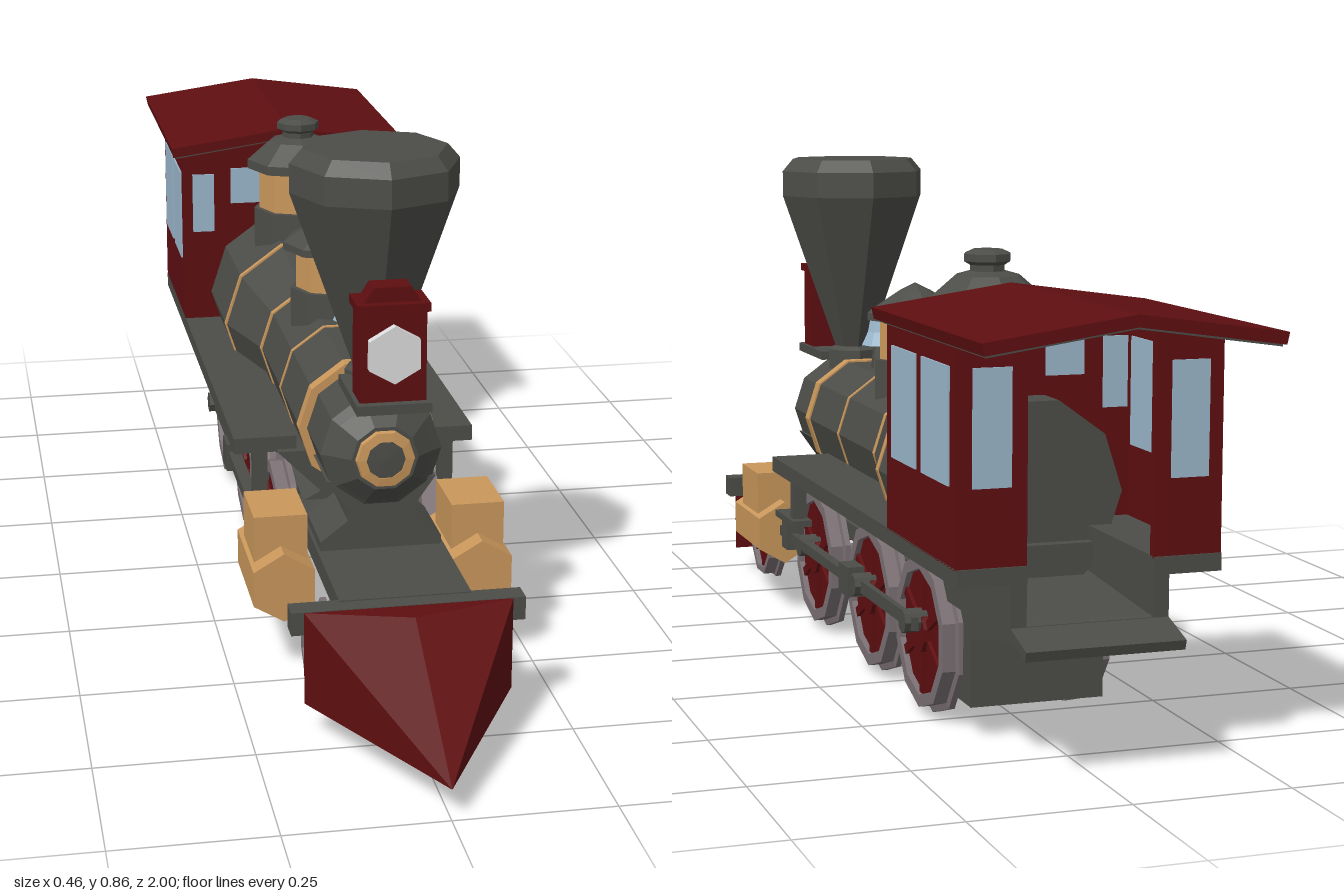
import * as THREE from 'three';

const mat = (name, color) => {
  const m = new THREE.MeshStandardMaterial({ color });
  m.name = name;
  return m;
};

export function createModel() {
  const iron = mat('dark iron', 0x4c4d48);
  const red = mat('deep red', 0x5e0e10);
  const brass = mat('brass', 0xc9975b);
  const glass = mat('pale blue', 0x9bb8cc);
  const steel = mat('wheel steel', 0x7b7074);
  const lamp = mat('lamp white', 0xdcdcdc);
  const root = new THREE.Group();
  root.name = 'steamLocomotive';

  // Adds a faceted mesh
  const add = (name, geo, material, x = 0, y = 0, z = 0, parent = root) => {
    const g = geo.index ? geo.toNonIndexed() : geo;
    g.computeVertexNormals();
    const m = new THREE.Mesh(g, material);
    m.name = name;
    m.position.set(x, y, z);
    parent.add(m);
    return m;
  };
  // Box given by its limits
  const box = (name, material, [x0, x1], [y0, y1], [z0, z1]) =>
    add(name, new THREE.BoxGeometry(x1 - x0, y1 - y0, z1 - z0), material,
      (x0 + x1) / 2, (y0 + y1) / 2, (z0 + z1) / 2);
  // Same box on both sides
  const pair = (name, material, [x0, x1], ys, zs) => {
    box(name + 'Left', material, [x0, x1], ys, zs);
    box(name + 'Right', material, [-x1, -x0], ys, zs);
  };
  const lathe = (pts, sides, phi = 0) =>
    new THREE.LatheGeometry(pts.map(p => new THREE.Vector2(...p)), sides, phi);
  // Extrudes an x-y outline from z0 to z1
  const slab = (name, material, pts, z0, z1) => {
    const shape = new THREE.Shape(pts.map(p => new THREE.Vector2(...p)));
    return add(name, new THREE.ExtrudeGeometry(shape, { depth: z1 - z0, bevelEnabled: false }), material, 0, 0, z0);
  };
  const mirrored = pts => [...pts, ...pts.map(([x, y]) => [-x, y]).reverse()];

  // Boiler: ten-sided, swelling to the firebox at the rear
  const AXIS = 0.366;
  const along = (name, pts, material) =>
    add(name, lathe(pts, 10, Math.PI / 10).rotateX(Math.PI / 2), material, 0, AXIS, 0);
  along('boiler', [[0, -0.58], [0.156, -0.58], [0.156, -0.28], [0.111, -0.115], [0.111, 0.31],
    [0.1, 0.31], [0.1, 0.455], [0.085, 0.465], [0.055, 0.49], [0, 0.49]], iron);
  for (const [z, r, w] of [[0.315, 0.114, 0.025], [0.11, 0.113, 0.008], [-0.117, 0.114, 0.012], [-0.28, 0.158, 0.012]])
    along('boilerBand', [[r - 0.02, z - w / 2], [r, z - w / 2], [r, z + w / 2], [r - 0.02, z + w / 2]], brass);
  along('doorRing', [[0.05, 0.485], [0.047, 0.498], [0.032, 0.5], [0.032, 0.49]], brass);
  along('doorCentre', [[0.032, 0.48], [0.032, 0.498], [0, 0.5]], iron);

  // Smokebox saddle and main frame
  slab('saddle', iron, mirrored([[0.1, 0.19], [0.1, 0.215], [0.055, 0.25], [0.055, 0.27], [0.09, 0.32]]), 0.33, 0.46);
  slab('mainFrame', iron, mirrored([[0.09, 0.17], [0.09, 0.2], [0.06, 0.215], [0.135, 0.29]]), -0.6, 0.23);
  box('frontDeck', iron, [-0.105, 0.105], [0.165, 0.2], [0.2, 0.66]);
  box('bufferBeam', iron, [-0.185, 0.185], [0.16, 0.198], [0.652, 0.69]);
  pair('runningBoard', iron, [0.1, 0.208], [0.286, 0.313], [-0.838, 0.215]);

  // Ash pan and rear frame, a side outline extruded across
  const pan = new THREE.Shape([[0.45, 0.045], [0.62, 0.045], [0.62, 0.155], [0.835, 0.2], [0.835, 0.222], [0.45, 0.25]]
    .map(p => new THREE.Vector2(...p)));
  add('ashPan', new THREE.ExtrudeGeometry(pan, { depth: 0.22, bevelEnabled: false }).rotateY(Math.PI / 2), iron, -0.11);
  pair('cabSkirt', iron, [0.1, 0.125], [0.2, 0.29], [-0.835, -0.5]);
  box('rearStep', iron, [-0.125, 0.125], [0.197, 0.213], [-0.9, -0.82]).rotation.x = -0.3;

  // Pilot wedge
  const wedge = new THREE.BufferGeometry();
  const W = 0.165;
  wedge.setAttribute('position', new THREE.Float32BufferAttribute([
    -W, 0.197, 0.69, W, 0.197, 0.69, 0, 0.197, 0.735,
    -W, 0.045, 0.69, W, 0.045, 0.69, 0, 0.045, 1], 3));
  wedge.setIndex([0, 2, 1, 3, 4, 5, 0, 3, 5, 0, 5, 2, 1, 2, 5, 1, 5, 4, 0, 1, 4, 0, 4, 3]);
  add('pilot', wedge, red);

  // Chimney
  add('chimney', lathe([[0, 0.45], [0.048, 0.45], [0.048, 0.488], [0.035, 0.495], [0.138, 0.785],
    [0.138, 0.832], [0.118, 0.855], [0, 0.855]], 8), iron, 0, 0, 0.39);

  // Headlight on its shelf
  box('lampShelf', iron, [-0.06, 0.06], [0.466, 0.482], [0.4, 0.565]);
  box('lampBody', red, [-0.053, 0.053], [0.482, 0.63], [0.488, 0.55]);
  box('lampEave', red, [-0.058, 0.058], [0.628, 0.642], [0.483, 0.556]);
  slab('lampCap', red, mirrored([[0.045, 0.642], [0.03, 0.666]]), 0.498, 0.542);
  add('lampLens', new THREE.CylinderGeometry(0.047, 0.047, 0.014, 6).rotateX(Math.PI / 2), lamp, 0, 0.562, 0.557);

  // Bell
  add('bellPost', new THREE.CylinderGeometry(0.012, 0.02, 0.07, 6), iron, 0, 0.49, 0.21);
  add('bell', lathe([[0, 0.515], [0.036, 0.515], [0.024, 0.54], [0.019, 0.565], [0.008, 0.577], [0, 0.577]], 8), glass, 0, 0, 0.21);

  // Sand dome and steam dome
  const dome = (name, z, base, band, cap) => {
    add(name + 'Base', lathe(base, 8), iron, 0, 0, z);
    add(name + 'Band', lathe(band, 8), brass, 0, 0, z);
    add(name + 'Cap', lathe(cap, 8), iron, 0, 0, z);
  };
  dome('sandDome', 0, [[0.075, 0.42], [0.075, 0.515], [0, 0.517]],
    [[0.065, 0.51], [0.065, 0.588]],
    [[0, 0.583], [0.088, 0.585], [0.088, 0.598], [0.03, 0.635], [0, 0.65]]);
  dome('steamDome', -0.38, [[0.085, 0.45], [0.085, 0.565], [0, 0.567]],
    [[0.075, 0.56], [0.075, 0.645]],
    [[0, 0.64], [0.097, 0.643], [0.097, 0.66], [0.055, 0.695], [0.03, 0.702], [0.03, 0.712],
      [0.04, 0.718], [0.04, 0.73], [0.025, 0.737], [0, 0.737]]);

  // Cab walls and roof
  slab('cabFront', red, mirrored([[0.208, 0.31], [0.208, 0.645], [0, 0.678]]), -0.515, -0.5);
  pair('cabSide', red, [0.193, 0.208], [0.31, 0.65], [-0.835, -0.5]);
  for (const s of [1, -1]) {
    const p = [[0.1, 0.31], [0.208, 0.31], [0.208, 0.645], [0.1, 0.66]].map(([x, y]) => [s * x, y]);
    slab('cabBackPanel', red, p, -0.835, -0.82);
  }
  slab('cabRoof', red, [[-0.226, 0.642], [0, 0.674], [0.226, 0.642], [0.23, 0.66], [0, 0.692], [-0.23, 0.66]], -1, -0.49);
  slab('roofLining', iron, [[-0.222, 0.639], [0, 0.671], [0.222, 0.639], [0.222, 0.643], [0, 0.675], [-0.222, 0.643]], -0.995, -0.495);

  // Cab windows, thin panes showing on both faces of the wall
  for (const z of [[-0.65, -0.53], [-0.803, -0.678]]) {
    pair('sideWindowOuter', glass, [0.205, 0.211], [0.43, 0.605], z);
    pair('sideWindowInner', glass, [0.19, 0.196], [0.43, 0.605], z);
  }
  for (const z of [-0.5, -0.515]) {
    pair('frontWindow', glass, [0.148, 0.19], [0.49, 0.605], [z - 0.003, z + 0.003]);
    pair('frontInnerWindow', glass, [0.05, 0.115], [0.545, 0.615], [z - 0.003, z + 0.003]);
  }
  for (const z of [-0.82, -0.835])
    pair('backWindow', glass, [0.125, 0.185], [0.43, 0.605], [z - 0.003, z + 0.003]);

  // Steam cylinders and valve chests
  pair('valveChest', brass, [0.12, 0.208], [0.17, 0.262], [0.33, 0.45]);
  for (const s of [1, -1]) {
    const c = new THREE.CylinderGeometry(0.059, 0.059, 0.19, 6).rotateX(Math.PI / 2);
    add('steamCylinder', c.scale(0.98, 1, 1), brass, s * 0.164, 0.151, 0.391);
  }

  // Wheels: steel tyre with flange, red centre, hub
  const wheel = (name, s, r, y, z, sides) => {
    const g = new THREE.Group();
    g.name = name;
    g.position.set(s * 0.125, y, z);
    if (s < 0) g.rotation.y = Math.PI;
    root.add(g);
    const part = (n, pts, m) => add(n, lathe(pts, sides, Math.PI / sides).rotateZ(-Math.PI / 2), m, 0, 0, 0, g);
    part('tyre', [[0, -0.018], [r, -0.018], [r, -0.008], [r * 0.92, -0.006], [r * 0.92, 0.016],
      [r * 0.77, 0.016], [r * 0.77, 0.004]], steel);
    part('wheelCentre', [[r * 0.78, 0.006], [0, 0.006]], red);
    part('hub', [[r * 0.25, 0.004], [r * 0.25, 0.018], [0, 0.018]], red);
    for (let i = 0; i < 3; i++) {
      const spoke = new THREE.BoxGeometry(0.008, r * 1.5, r * 0.12).rotateX(i * Math.PI / 3);
      add('spoke', spoke, red, 0.008, 0, 0, g);
    }
  };
  const drivers = [0.175, -0.175, -0.455];
  const axle = (r, y, z) =>
    add('axle', new THREE.CylinderGeometry(r, r, 0.23, 8).rotateZ(Math.PI / 2), steel, 0, y, z);
  for (const z of drivers) {
    for (const s of [1, -1]) {
      wheel('drivingWheel', s, 0.135, 0.13, z, 10);
      add('crankPin', new THREE.CylinderGeometry(0.02, 0.02, 0.04, 8).rotateZ(Math.PI / 2), iron, s * 0.15, 0.15, z);
    }
    axle(0.018, 0.13, z);
  }
  for (const s of [1, -1]) wheel('pilotWheel', s, 0.08, 0.085, 0.58, 8);
  axle(0.014, 0.085, 0.58);
  box('pilotTruck', iron, [-0.03, 0.03], [0.08, 0.17], [0.55, 0.61]);

  // Rods and slide bars
  pair('couplingRod', iron, [0.15, 0.16], [0.138, 0.16], [-0.48, 0.2]);
  pair('pistonRod', iron, [0.162, 0.174], [0.148, 0.166], [-0.18, 0.3]);
  pair('rodEnd', iron, [0.148, 0.178], [0.128, 0.18], [-0.175, -0.12]);
  pair('crosshead', iron, [0.15, 0.182], [0.135, 0.185], [0.21, 0.25]);
  pair('slideBar', iron, [0.145, 0.182], [0.185, 0.197], [0.17, 0.3]);
  pair('slideBarHanger', iron, [0.15, 0.175], [0.19, 0.29], [0.19, 0.212]);

  return root;
}
